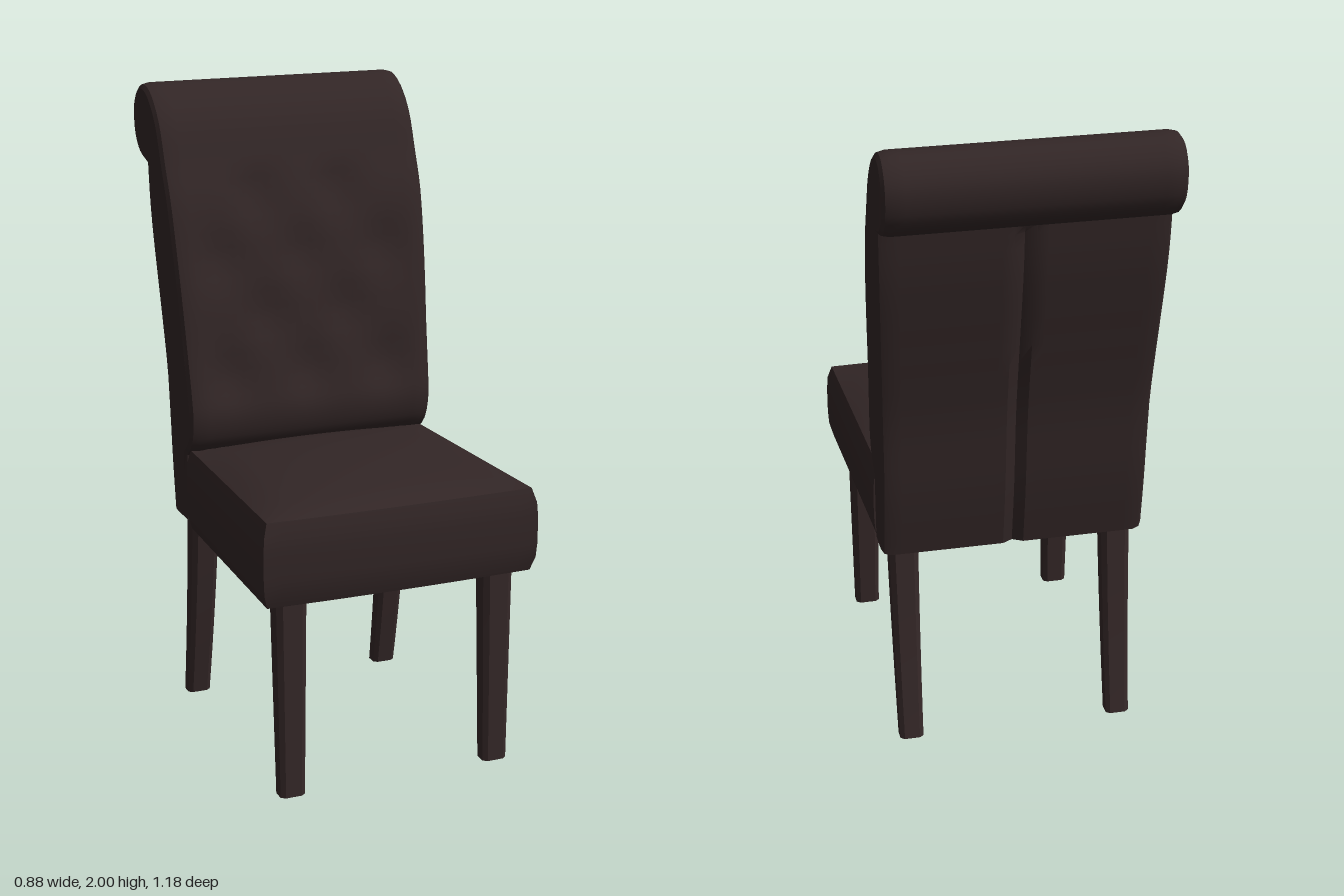
import * as THREE from 'three';
import { toCreasedNormals } from 'three/addons/utils/BufferGeometryUtils.js';

const leather = new THREE.MeshStandardMaterial({ color: 0x322626 });
leather.name = 'dark brown leather';
const wood = new THREE.MeshStandardMaterial({ color: 0x352828 });
wood.name = 'dark wood';
const lining = new THREE.MeshStandardMaterial({ color: 0x403624 });
lining.name = 'olive lining';

// Moves every vertex by a rule, then rebuilds normals
function reshape(geometry, rule, crease = 0.6) {
  const pos = geometry.attributes.position;
  const v = new THREE.Vector3();
  for (let i = 0; i < pos.count; i++) {
    v.fromBufferAttribute(pos, i);
    rule(v);
    pos.setXYZ(i, v.x, v.y, v.z);
  }
  return toCreasedNormals(geometry, crease);
}

function addMesh(parent, name, geometry, material) {
  const mesh = new THREE.Mesh(geometry, material);
  mesh.name = name;
  parent.add(mesh);
  return mesh;
}

// Depth of the button dimples and folds at a point on the front of the back
function tuft(x, y) {
  let depth = 0;
  for (let row = 0; row < 4; row++) {
    const count = row % 2 ? 2 : 3;
    for (let k = 0; k < count; k++) {
      const dx = (x - (k - (count - 1) / 2) * 0.26) / 0.075;
      const dy = (y - (1.12 + row * 0.18)) / 0.08;
      depth += 0.022 * Math.exp(-dx * dx - dy * dy);
    }
  }
  return depth;
}

// Side profile (z, y) with rolled top, swept across the width
function backGeometry() {
  const pts = (list) => list.map(([z, y]) => new THREE.Vector2(z, y));
  const shape = new THREE.Shape();
  shape.moveTo(-0.305, 0.64);
  shape.lineTo(-0.195, 0.64);
  shape.lineTo(-0.19, 0.86);
  shape.splineThru(pts([
    [-0.14, 0.91], [-0.12, 0.99], [-0.13, 1.08], [-0.155, 1.22], [-0.18, 1.37],
    [-0.21, 1.52], [-0.245, 1.66], [-0.29, 1.77], [-0.34, 1.89], [-0.41, 1.97],
    [-0.48, 2.0], [-0.545, 1.985], [-0.588, 1.92], [-0.58, 1.83], [-0.53, 1.77], [-0.455, 1.745],
  ]));
  shape.splineThru(pts([[-0.44, 1.58], [-0.395, 1.33], [-0.355, 1.1], [-0.335, 0.85], [-0.305, 0.64]]));
  const geometry = new THREE.ExtrudeGeometry(shape, {
    depth: 0.76, steps: 24, curveSegments: 3,
    bevelThickness: 0.03, bevelSize: 0.018, bevelOffset: -0.018, bevelSegments: 2,
  });
  geometry.translate(0, 0, -0.38).rotateY(-Math.PI / 2);
  return reshape(geometry, (v) => {
    const t = THREE.MathUtils.smoothstep(v.y, 0.9, 1.8);
    const middle = -0.235 - 0.16 * (v.y - 0.8);
    const edge = THREE.MathUtils.smoothstep(0.4 - Math.abs(v.x), 0, 0.08);
    if (v.y < 1.72 && v.y > 0.95 && v.z > middle) v.z -= tuft(v.x, v.y) * edge;
    // Vertical seam down the rear
    if (v.y < 1.72 && v.z < middle - 0.02 && Math.abs(v.x) < 0.01) v.z += 0.018;
    v.x *= 1 + 0.05 * t;
  }, 0.5);
}

// Tapered seat cushion with a crowned top and softly bulging walls
function seatGeometry() {
  return reshape(new THREE.BoxGeometry(2, 2, 2, 16, 6, 16), (v) => {
    const { x: u, y: h, z: w } = v;
    const crown = h > 0.99 ? 0.048 * Math.pow((1 - u * u) * (1 - w * w), 0.6) : 0;
    const bulge = 0.016 * (1 - h ** 4);
    const half = THREE.MathUtils.lerp(0.395, 0.424, (w + 1) / 2);
    v.x = u * (half + bulge);
    v.y = 0.752 + h * 0.13 + crown;
    v.z = 0.193 + w * 0.372;
    if (w > 0) v.z += w * (bulge + 0.008 * (1 - u * u));
  });
}

// Chamfered square leg; path(t) gives z centre and half sizes, t = 0 at the floor
function legGeometry(path) {
  const geometry = new THREE.CylinderGeometry(1, 1, 1, 8, 8, false, Math.PI / 8);
  return reshape(geometry, (v) => {
    const t = v.y + 0.5;
    const { z, hx, hz } = path(t);
    const snap = (a) => Math.abs(a) < 0.01 ? 0 : Math.sign(a) * (Math.abs(a) > 0.6 ? 1 : 0.65);
    v.set(snap(v.x) * hx, t * 0.65, z + snap(v.z) * hz);
  });
}

export function createModel() {
  const chair = new THREE.Group();
  chair.name = 'diningChair';

  addMesh(chair, 'backrest', backGeometry(), leather);
  addMesh(chair, 'seat', seatGeometry(), leather);

  // Lining under the seat
  const under = new THREE.Shape();
  under.moveTo(-0.37, -0.16);
  under.lineTo(0.37, -0.16);
  under.lineTo(0.4, 0.54);
  under.lineTo(-0.4, 0.54);
  const plate = new THREE.ExtrudeGeometry(under, { depth: 0.005, bevelEnabled: false });
  plate.rotateX(Math.PI / 2);
  addMesh(chair, 'seatLining', plate, lining).position.y = 0.623;

  // Straight front legs and swept rear legs
  const front = legGeometry((t) => ({ z: 0.515 - 0.013 * t, hx: 0.039 + 0.009 * t, hz: 0.028 + 0.011 * t }));
  const rear = legGeometry((t) => ({
    z: -0.332 + 0.12 * t - 0.03 * t * t, hx: 0.037 + 0.008 * t, hz: 0.027 + 0.011 * t,
  }));
  for (const [side, label] of [[1, 'left'], [-1, 'right']]) {
    addMesh(chair, label + 'FrontLeg', front, wood).position.x = side * 0.335;
    addMesh(chair, label + 'RearLeg', rear, wood).position.x = side * 0.335;
  }
  return chair;
}
